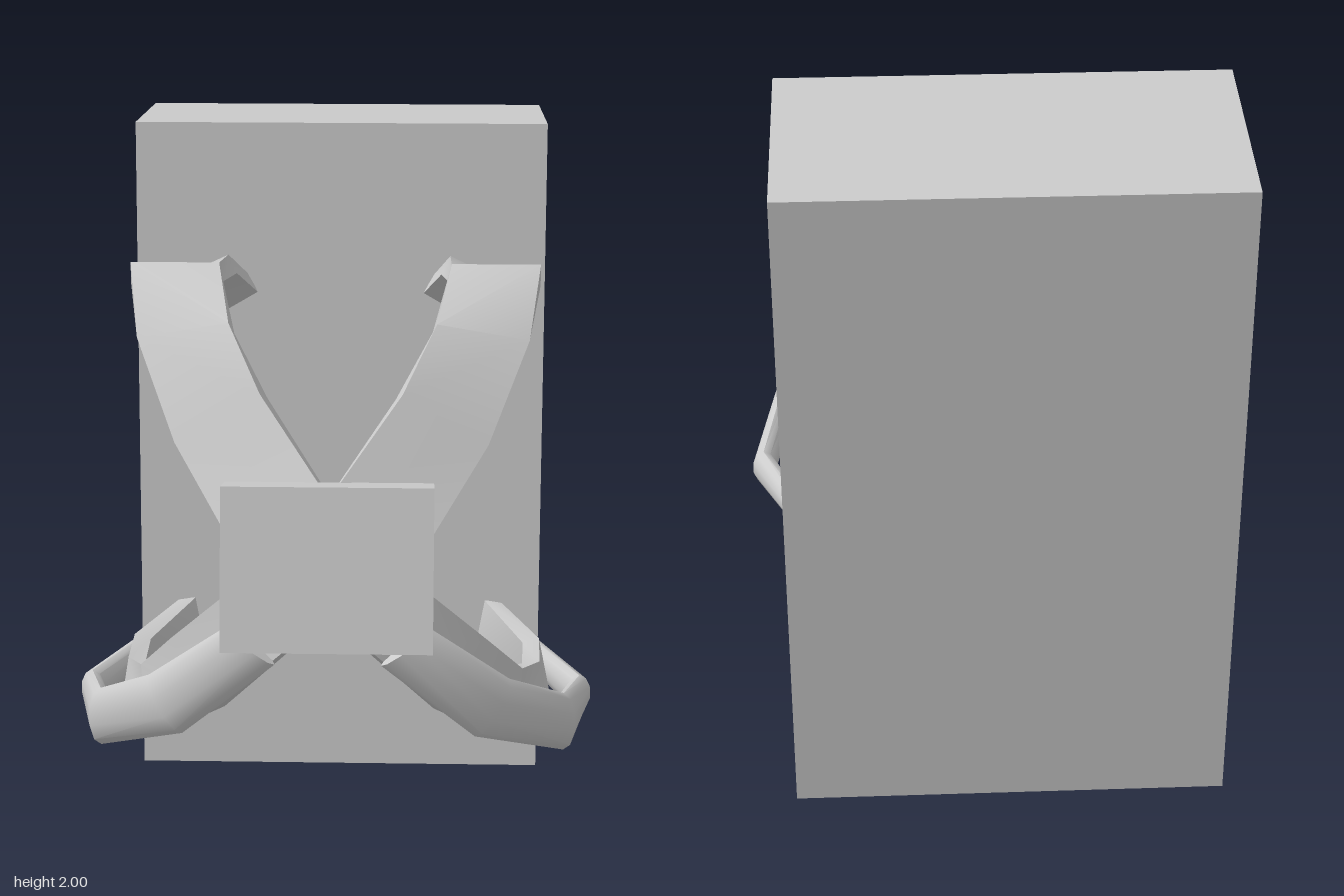
import * as THREE from 'three';
import { toCreasedNormals } from 'three/addons/utils/BufferGeometryUtils.js';

const material = new THREE.MeshStandardMaterial({ color: 0xcccccc });

// Capped loft through rings of equal point count, wound to face outwards.
function loft(rings, crease) {
  const n = rings[0].length, last = rings.length - 1, index = [];
  for (let i = 0; i < last; i++) {
    for (let j = 0; j < n; j++) {
      const a = i * n + j, b = i * n + (j + 1) % n;
      index.push(a, b, a + n, b, b + n, a + n);
    }
  }
  for (let j = 1; j < n - 1; j++) {
    index.push(0, j + 1, j);
    index.push(last * n, last * n + j, last * n + j + 1);
  }
  const points = rings.flat();
  let volume = 0;
  for (let k = 0; k < index.length; k += 3) {
    const [a, b, c] = [points[index[k]], points[index[k + 1]], points[index[k + 2]]];
    volume += a.dot(b.clone().cross(c));
  }
  if (volume < 0) index.reverse();
  const geometry = new THREE.BufferGeometry().setFromPoints(points);
  geometry.setIndex(index);
  return toCreasedNormals(geometry, crease);
}

// Sections are pairs of edge points; thickness follows the band's normal.
function strap(name, sections, thickness, side, round = false) {
  const pairs = sections.map(s => [
    new THREE.Vector3(s[0], s[1], s[2]), new THREE.Vector3(s[3], s[4], s[5])]);
  const mids = pairs.map(([a, b]) => a.clone().add(b).multiplyScalar(0.5));
  const rings = pairs.map(([a, b], i) => {
    const tangent = mids[Math.min(i + 1, mids.length - 1)].clone().sub(mids[Math.max(i - 1, 0)]);
    const normal = b.clone().sub(a).cross(tangent).normalize().multiplyScalar(thickness);
    let ring;
    if (round) {
      const half = b.clone().sub(a).multiplyScalar(0.5);
      ring = Array.from({ length: 10 }, (_, k) => {
        const t = k / 10 * Math.PI * 2;
        return mids[i].clone().addScaledVector(half, Math.cos(t))
          .addScaledVector(normal, Math.sin(t) / 2);
      });
    } else {
      ring = [a.clone(), b.clone(), b.clone().add(normal), a.clone().add(normal)];
    }
    ring.forEach(p => { p.x *= side; });
    return ring;
  });
  const mesh = new THREE.Mesh(loft(rings, round ? 0.85 : 0.5), material);
  mesh.name = name;
  return mesh;
}

function box(name, w, h, d, y, z, tilt) {
  const mesh = new THREE.Mesh(new THREE.BoxGeometry(w, h, d), material);
  mesh.name = name;
  mesh.position.set(0, y, z);
  mesh.rotation.x = tilt;
  return mesh;
}

// Inner edge, outer edge, from pack to chest
const SHOULDER = [
  [0.27, 1.55, -0.33, 0.49, 1.42, -0.33],
  [0.32, 1.65, -0.16, 0.55, 1.55, -0.12],
  [0.32, 1.71, 0.20, 0.565, 1.71, 0.20],
  [0.28, 1.60, 0.44, 0.53, 1.55, 0.41],
  [0.19, 1.44, 0.57, 0.42, 1.30, 0.56],
  [0.02, 1.23, 0.73, 0.25, 1.07, 0.76],
];
// Upper edge, lower edge
const WAIST = [
  [0.43, 0.57, -0.26, 0.39, 0.375, -0.26],
  [0.54, 0.57, 0.12, 0.58, 0.375, 0.12],
  [0.53, 0.60, 0.36, 0.56, 0.41, 0.40],
  [0.48, 0.66, 0.54, 0.46, 0.48, 0.61],
  [0.40, 0.78, 0.64, 0.28, 0.62, 0.75],
  [0.22, 0.96, 0.71, 0.08, 0.82, 0.80],
];
const HOSE = [
  [0.55, 0.51, -0.13, 0.56, 0.43, -0.13],
  [0.70, 0.51, 0.22, 0.70, 0.40, 0.22],
  [0.64, 0.58, 0.53, 0.64, 0.42, 0.55],
  [0.48, 0.72, 0.78, 0.39, 0.57, 0.82],
  [0.27, 0.87, 0.81, 0.14, 0.78, 0.85],
];

export function createModel() {
  const group = new THREE.Group();
  group.name = 'harnessPack';
  group.add(box('pack', 1.2, 1.956, 0.622, 1.0, -0.58, -0.082));
  group.add(box('chestBuckle', 0.55, 0.43, 0.178, 1.05, 0.843, -0.233));
  for (const side of [1, -1]) {
    const prefix = side > 0 ? 'left' : 'right';
    group.add(strap(prefix + 'ShoulderStrap', SHOULDER, 0.06, side));
    group.add(strap(prefix + 'WaistStrap', WAIST, -0.05, side));
    group.add(strap(prefix + 'PaddedStrap', HOSE, 0.07, side, true));
  }
  return group;
}
